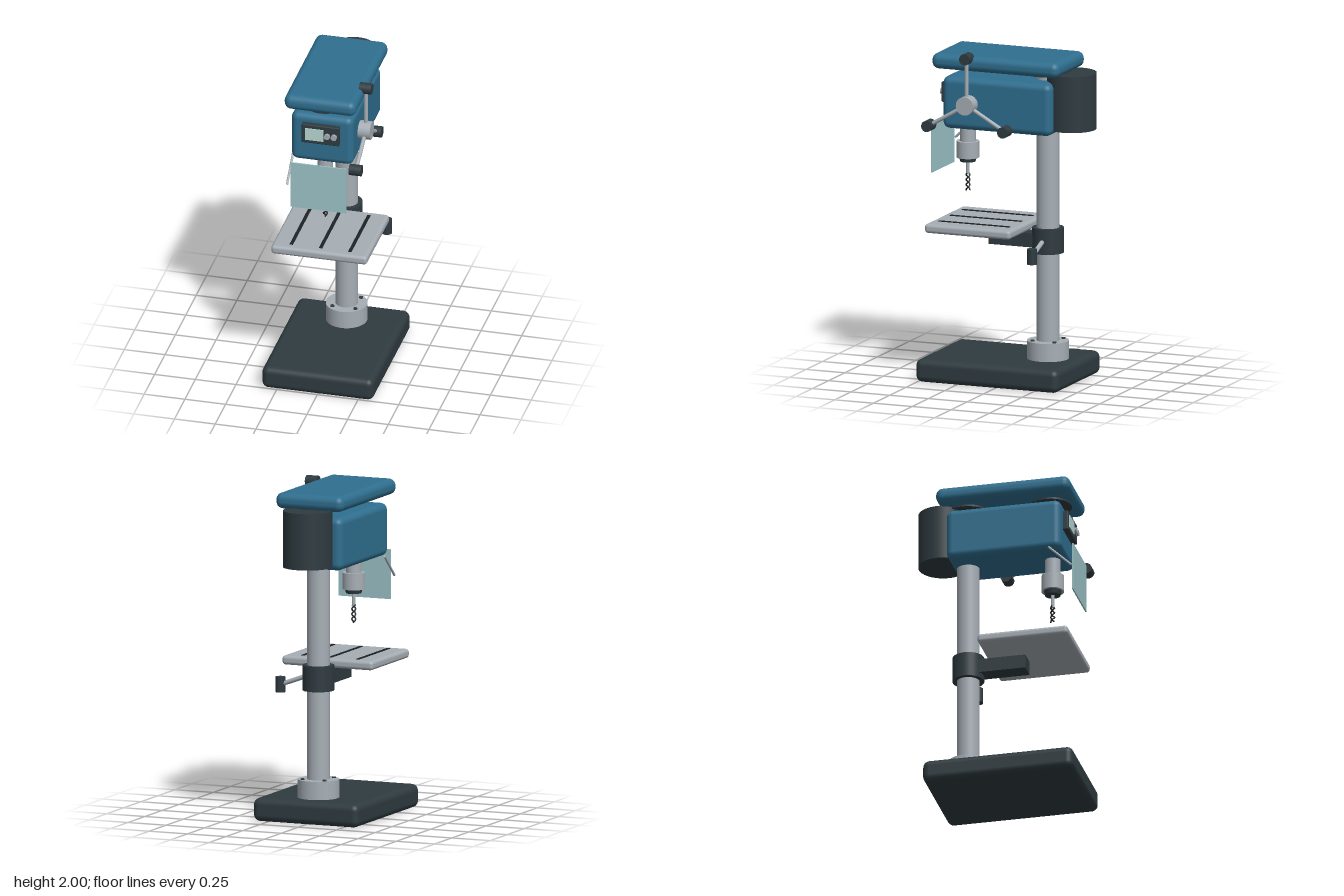
import * as THREE from 'three';
import { RoundedBoxGeometry } from 'three/addons/geometries/RoundedBoxGeometry.js';

const mat = (name, color) => {
  const m = new THREE.MeshStandardMaterial({ color });
  m.name = name;
  return m;
};

export function createModel() {
  const root = new THREE.Group();
  root.name = 'drillPress';

  const blue = mat('bluePaint', 0x2f6f8f);
  const dark = mat('darkCastIron', 0x2f3b40);
  const steel = mat('steel', 0xa6aeb5);
  const black = mat('blackSteel', 0x1d2226);
  const glass = mat('guardPlastic', 0x9cc4c8);
  const screenMat = mat('screen', 0xb9d8d4);

  const add = (name, geo, material, x = 0, y = 0, z = 0, parent = root) => {
    const m = new THREE.Mesh(geo, material);
    m.name = name;
    m.position.set(x, y, z);
    parent.add(m);
    return m;
  };
  const rbox = (name, w, h, d, r, material, x, y, z) =>
    add(name, new RoundedBoxGeometry(w, h, d, 5, r), material, x, y, z);
  const box = (name, w, h, d, material, x, y, z) =>
    add(name, new THREE.BoxGeometry(w, h, d), material, x, y, z);
  // upright cylinder between two heights
  const cyl = (name, r, y0, y1, material, x, z, rBottom = r) =>
    add(name, new THREE.CylinderGeometry(r, rBottom, y1 - y0, 40), material, x, (y0 + y1) / 2, z);
  // round rod between two points
  const rod = (name, a, b, r, material, parent = root) => {
    const p = new THREE.Vector3(...a), q = new THREE.Vector3(...b);
    const dir = q.clone().sub(p);
    const m = add(name, new THREE.CylinderGeometry(r, r, dir.length(), 20), material, 0, 0, 0, parent);
    m.position.copy(p).add(q).multiplyScalar(0.5);
    m.quaternion.setFromUnitVectors(new THREE.Vector3(0, 1, 0), dir.normalize());
    return m;
  };

  const colZ = -0.207;  // column axis
  const spinZ = 0.31;   // spindle axis

  // Base, column and bolted flange
  rbox('base', 0.686, 0.14, 0.92, 0.04, dark, 0, 0.07, 0.051);
  cyl('column', 0.068, 0.14, 1.9, steel, 0, colZ);
  cyl('columnFlange', 0.125, 0.13, 0.25, steel, 0, colZ);
  for (let i = 0; i < 4; i++) {
    const a = Math.PI / 4 + i * Math.PI / 2;
    cyl('flangeBolt', 0.012, 0.24, 0.257, dark, Math.cos(a) * 0.1, colZ + Math.sin(a) * 0.1);
  }

  // Work table with slots, bracket and clamp lever
  cyl('tableClamp', 0.095, 0.785, 0.937, dark, 0, colZ);
  box('tableArm', 0.11, 0.085, 0.3, dark, 0, 0.858, 0.005);
  rbox('table', 0.59, 0.055, 0.553, 0.02, steel, 0, 0.928, 0.193);
  for (const x of [-0.18, 0, 0.18]) box('tableSlot', 0.02, 0.008, 0.46, black, x, 0.955, 0.193);
  rod('clampLever', [0.07, 0.868, colZ], [0.247, 0.803, colZ], 0.014, steel);
  cyl('clampGrip', 0.03, 0.757, 0.85, dark, 0.247, colZ);

  // Head, belt cover, pulleys and motor
  rbox('head', 0.38, 0.317, 0.7, 0.04, blue, 0, 1.682, 0.05);
  rbox('beltCover', 0.44, 0.095, 0.82, 0.042, blue, 0, 1.933, 0.05);
  cyl('spindlePulley', 0.125, 1.874, 1.9, dark, 0, spinZ - 0.01);
  cyl('columnPulley', 0.14, 1.874, 1.9, dark, 0, colZ);
  cyl('motor', 0.148, 1.55, 1.89, dark, 0, -0.362);

  // Control panel
  rbox('controlPanel', 0.23, 0.123, 0.05, 0.006, dark, 0, 1.729, 0.408);
  box('display', 0.112, 0.078, 0.008, screenMat, -0.036, 1.729, 0.434);
  for (const x of [0.044, 0.086]) {
    const knob = cyl('panelKnob', 0.018, 0, 0.02, steel, x, 0.438);
    knob.position.y = 1.729;
    knob.rotation.x = Math.PI / 2;
  }

  // Quill, chuck and twist drill
  cyl('quill', 0.047, 1.4, 1.56, steel, 0, spinZ);
  cyl('chuck', 0.068, 1.32, 1.42, steel, 0, spinZ);
  cyl('chuckJaws', 0.053, 1.295, 1.32, dark, 0, spinZ, 0.046);
  cyl('drillShank', 0.011, 1.215, 1.3, steel, 0, spinZ);
  for (const phase of [0, Math.PI]) {
    const pts = [];
    for (let i = 0; i <= 36; i++) {
      const t = i / 36, a = phase + t * Math.PI * 3.5;
      pts.push(new THREE.Vector3(Math.cos(a) * 0.011, 1.225 - t * 0.107, spinZ + Math.sin(a) * 0.011));
    }
    add('drillFlute', new THREE.TubeGeometry(new THREE.CatmullRomCurve3(pts), 72, 0.0045, 8), black);
  }

  // Safety guard and its arm
  box('guard', 0.34, 0.3, 0.008, glass, 0, 1.395, 0.473);
  rod('guardArm', [-0.193, 1.525, 0.33], [-0.193, 1.392, 0.472], 0.007, steel);

  // Three-spoke feed handle on the left side
  const feed = new THREE.Group();
  feed.name = 'feedHandle';
  feed.position.set(0.228, 1.685, 0.222);
  root.add(feed);
  rod('feedHub', [-0.05, 0, 0], [0.036, 0, 0], 0.056, steel, feed);
  for (let i = 0; i < 3; i++) {
    const a = Math.PI / 2 + i * Math.PI * 2 / 3;
    const y = Math.sin(a) * 0.283, z = Math.cos(a) * 0.283;
    rod('feedSpoke', [0, 0, 0], [0, y, z], 0.012, steel, feed);
    rod('feedKnob', [-0.037, y, z], [0.037, y, z], 0.034, dark, feed);
  }

  return root;
}
